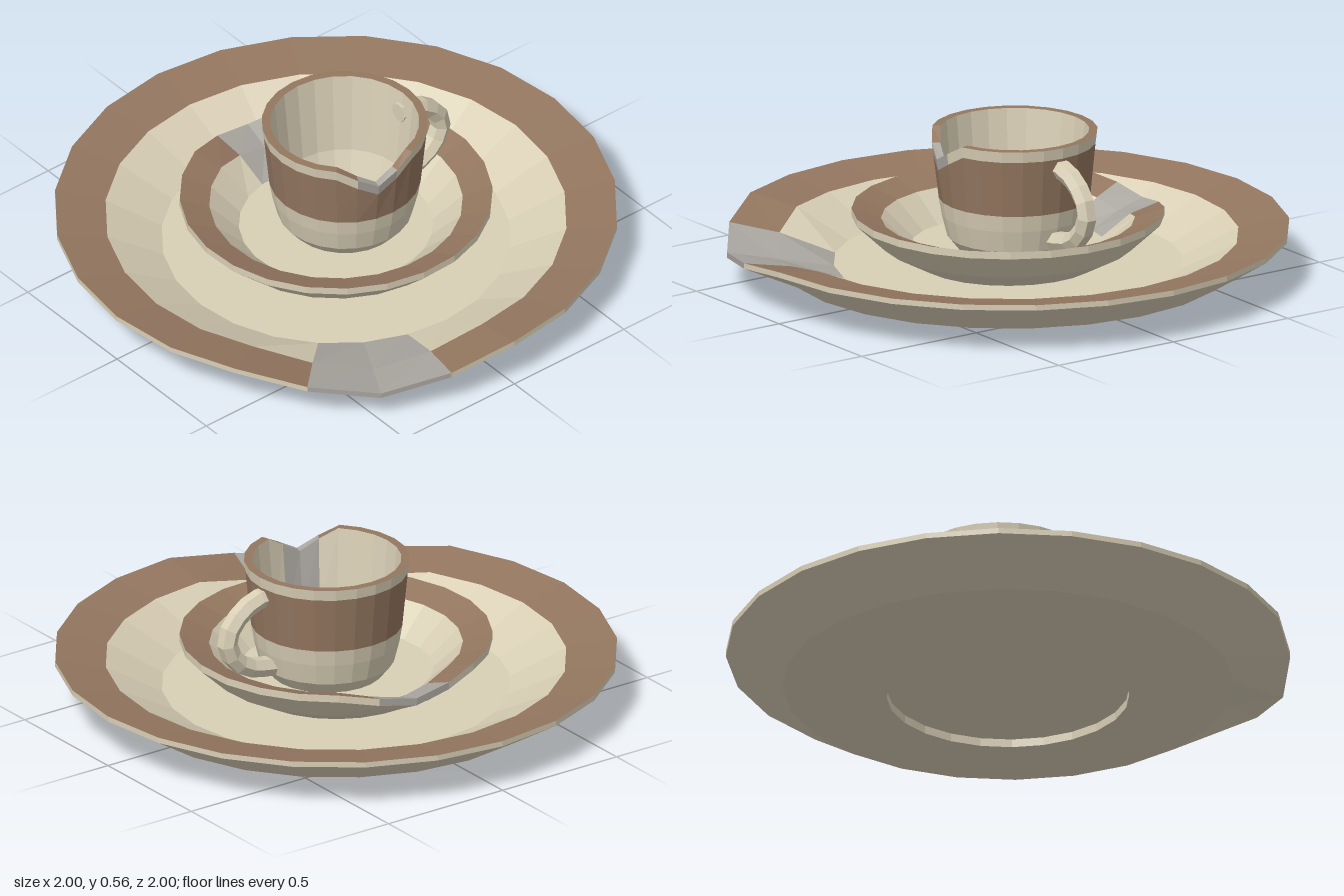
import * as THREE from 'three';

const SIDES = 24;
const STEP = (Math.PI * 2) / SIDES;

const flat = (name, color) => {
  const m = new THREE.MeshStandardMaterial({ color, flatShading: true });
  m.name = name;
  return m;
};

// Faceted dish: rings are [radius, y, dips with the chip?, colour of the band up to the next ring].
// The profile runs from the underside centre, over the rim, to the inside floor centre.
function chippedDish(name, mats, { rings, turn = 0, chipAt, chipDepth }) {
  const faces = { cream: [], brown: [], chip: [] };
  const dist = (j) => {
    const d = (((j - chipAt) % SIDES) + SIDES) % SIDES;
    return Math.min(d, SIDES - d);
  };
  const point = ([r, y, dips], j) => {
    const a = turn + j * STEP;
    const dip = dips ? chipDepth * Math.max(0, 1 - dist(j) / 2) : 0;
    return [r * Math.sin(a), y - dip, r * Math.cos(a)];
  };
  for (let i = 0; i < rings.length - 1; i++) {
    const [lo, hi] = [rings[i], rings[i + 1]];
    const broken = lo[2] && lo[3] !== 'under' || (hi[2] && lo[3] === 'rim');
    for (let j = 0; j < SIDES; j++) {
      const inChip = broken && dist(j) <= 1 && dist(j + 1) <= 1;
      const key = inChip ? 'chip' : lo[3] === 'brown' ? 'brown' : 'cream';
      const a = point(lo, j), d = point(lo, j + 1), b = point(hi, j), c = point(hi, j + 1);
      if (lo[0] > 0) faces[key].push(...a, ...d, ...c);
      if (hi[0] > 0) faces[key].push(...a, ...c, ...b);
      else if (lo[0] > 0 && hi[0] === 0) continue;
    }
  }
  const group = new THREE.Group();
  group.name = name;
  const labels = { cream: 'Glaze', brown: 'Band', chip: 'Chip' };
  for (const key in faces) {
    const geo = new THREE.BufferGeometry();
    geo.setAttribute('position', new THREE.Float32BufferAttribute(faces[key], 3));
    geo.computeVertexNormals();
    const mesh = new THREE.Mesh(geo, mats[key]);
    mesh.name = name + labels[key];
    group.add(mesh);
  }
  return group;
}

export function createModel() {
  const model = new THREE.Group();
  model.name = 'crockeryStack';
  const mats = {
    cream: flat('cream glaze', 0xd9cfb6),
    brown: flat('brown band', 0x93765f),
    chip: flat('bare chipped clay', 0xaaa6a0),
  };

  // Dinner plate with a chip at the front right
  model.add(chippedDish('plate', mats, {
    chipAt: 22, chipDepth: 0.07,
    rings: [
      [0, 0.03, false, 'under'], [0.43, 0.03, false, 'under'], [0.43, 0, false, 'under'],
      [0.56, 0, false, 'under'], [0.8, 0.045, false, 'under'],
      [1, 0.17, true, 'cream'], [1, 0.19, true, 'brown'],
      [0.82, 0.16, true, 'cream'], [0.62, 0.06, false, 'cream'], [0, 0.06, false, 'cream'],
    ],
  }));

  // Saucer with a chip at the back
  model.add(chippedDish('saucer', mats, {
    turn: THREE.MathUtils.degToRad(-5), chipAt: 12, chipDepth: 0.045,
    rings: [
      [0, 0.075, false, 'under'], [0.24, 0.075, false, 'under'], [0.24, 0.061, false, 'under'],
      [0.32, 0.061, false, 'under'], [0.45, 0.13, false, 'under'],
      [0.555, 0.228, true, 'cream'], [0.555, 0.255, true, 'brown'],
      [0.45, 0.22, true, 'cream'], [0.345, 0.12, false, 'cream'], [0, 0.12, false, 'cream'],
    ],
  }));

  // Cup with a chip in the front of its rim
  const cup = chippedDish('cup', mats, {
    chipAt: 23, chipDepth: 0.082,
    rings: [
      [0, 0.121, false, 'under'], [0.2, 0.121, false, 'under'], [0.24, 0.17, false, 'under'],
      [0.26, 0.25, false, 'under'], [0.27, 0.31, false, 'brown'],
      [0.29, 0.515, true, 'cream'], [0.295, 0.555, true, 'brown'],
      [0.265, 0.555, true, 'cream'], [0.235, 0.25, false, 'cream'],
      [0.2, 0.15, false, 'cream'], [0, 0.15, false, 'cream'],
    ],
  });
  cup.position.x = 0.04;
  model.add(cup);

  // Six-sided handle, its ends let into the cup wall
  const path = new THREE.CatmullRomCurve3([
    [0.285, 0.475], [0.35, 0.47], [0.425, 0.43], [0.477, 0.35], [0.45, 0.27], [0.38, 0.22], [0.27, 0.2],
  ].map(([x, y]) => new THREE.Vector3(x, y, 0)));
  const handle = new THREE.Mesh(new THREE.TubeGeometry(path, 10, 0.037, 6), mats.cream);
  handle.name = 'handle';
  model.add(handle);

  // Handle peg end showing inside the cup
  const peg = new THREE.CircleGeometry(0.037, 6);
  peg.rotateZ(Math.PI / 6).rotateY(-Math.PI / 2).translate(0.285, 0.475, 0);
  const pegEnd = new THREE.Mesh(peg, mats.cream);
  pegEnd.name = 'handlePegEnd';
  model.add(pegEnd);

  return model;
}
